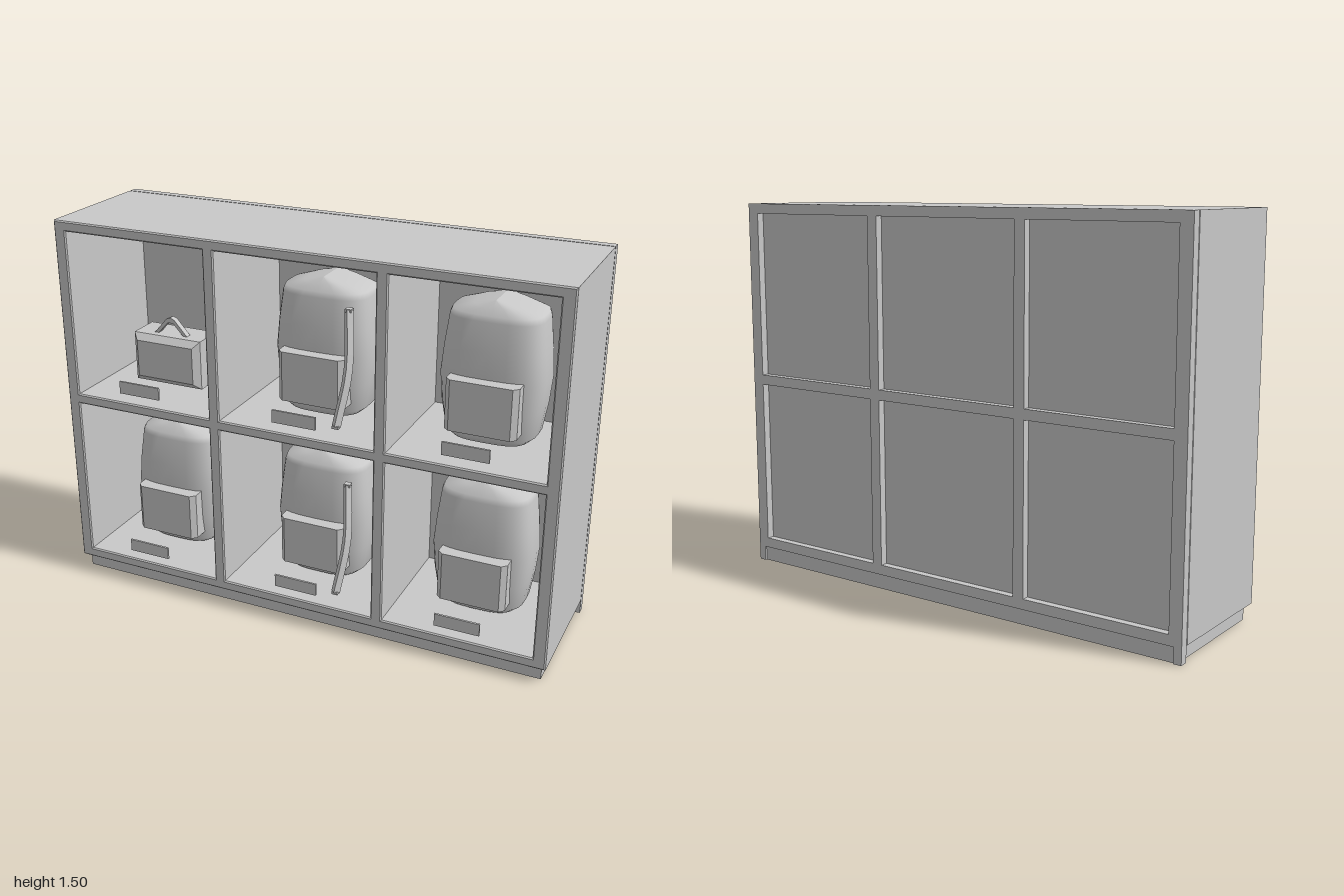
import * as THREE from 'three';

const grey = new THREE.MeshStandardMaterial({ color: 0xc8c8c8 });
grey.name = 'grey';

function add(parent, name, geometry, x = 0, y = 0, z = 0) {
  const m = new THREE.Mesh(geometry, grey);
  m.name = name;
  m.position.set(x, y, z);
  parent.add(m);
  return m;
}

// box given by its minimum and maximum corners
function box(parent, name, x0, x1, y0, y1, z0, z1) {
  return add(parent, name, new THREE.BoxGeometry(x1 - x0, y1 - y0, z1 - z0),
    (x0 + x1) / 2, (y0 + y1) / 2, (z0 + z1) / 2);
}

function rectPath(P, x0, x1, y0, y1) {
  return new P().moveTo(x0, y0).lineTo(x1, y0).lineTo(x1, y1).lineTo(x0, y1).closePath();
}

const columns = [[-0.95, -0.36], [-0.315, 0.315], [0.36, 0.95]];
const rows = [[0.1, 0.76], [0.8, 1.46]];

// grid of six openings
function gridShape(inset) {
  const s = rectPath(THREE.Shape, -1 + inset, 1 - inset, 0.06 + inset, 1.5 - inset);
  for (const [x0, x1] of columns) for (const [y0, y1] of rows)
    s.holes.push(rectPath(THREE.Path, x0 - inset, x1 + inset, y0 - inset, y1 + inset));
  return s;
}

// closed body lofted from rows of [y, half width, front z, back z]
function loft(sections, n = 32) {
  const pos = [], idx = [];
  const pow = (v) => Math.sign(v) * Math.pow(Math.abs(v), 0.62);
  for (const [y, w, f, b] of sections) for (let j = 0; j < n; j++) {
    const a = (j / n) * Math.PI * 2;
    pos.push(w * pow(Math.cos(a)), y, (f + b) / 2 + ((f - b) / 2) * pow(Math.sin(a)));
  }
  for (let i = 0; i < sections.length - 1; i++) for (let j = 0; j < n; j++) {
    const a = i * n + j, b = i * n + (j + 1) % n;
    idx.push(a, a + n, b, b, a + n, b + n);
  }
  const g = new THREE.BufferGeometry();
  g.setAttribute('position', new THREE.Float32BufferAttribute(pos, 3));
  g.setIndex(idx);
  g.computeVertexNormals();
  return g;
}

const bagBody = loft([
  [0.003, 0, -0.04, -0.06], [0.003, 0.09, 0.04, -0.15], [0.012, 0.145, 0.07, -0.17],
  [0.035, 0.17, 0.085, -0.18], [0.14, 0.188, 0.095, -0.18], [0.25, 0.198, 0.095, -0.18],
  [0.36, 0.188, 0.09, -0.18], [0.47, 0.175, 0.075, -0.175], [0.49, 0.168, 0.065, -0.17],
  [0.515, 0.09, 0.045, -0.15], [0.535, 0, 0.02, -0.13],
]);

function backpack(withStrap) {
  const g = new THREE.Group();
  g.name = 'backpack';
  add(g, 'bagBody', bagBody);
  // front pocket with chamfered sides
  const p = new THREE.Shape();
  [[-0.135, -0.02], [0.135, -0.02], [0.135, 0.125], [0.115, 0.145], [-0.115, 0.145], [-0.135, 0.125]]
    .forEach(([x, z], i) => (i ? p.lineTo(x, -z) : p.moveTo(x, -z)));
  const pocket = new THREE.ExtrudeGeometry(p, { depth: 0.195, bevelEnabled: false });
  pocket.rotateX(-Math.PI / 2);
  add(g, 'frontPocket', pocket, 0, 0.07, 0);
  if (withStrap) {
    const path = new THREE.CatmullRomCurve3([
      new THREE.Vector3(0.15, 0.46, 0.125), new THREE.Vector3(0.172, 0.25, 0.18), new THREE.Vector3(0.153, 0.05, 0.24),
    ]);
    const strap = new THREE.TubeGeometry(path, 8, 0.018, 4).toNonIndexed();
    strap.computeVertexNormals();
    add(g, 'strap', strap);
    for (const t of [0, 1]) {
      const c = path.getPoint(t);
      add(g, 'strapEnd', new THREE.BoxGeometry(0.025, 0.012, 0.025), c.x, c.y, c.z);
    }
  }
  return g;
}

function lunchBox() {
  const g = new THREE.Group();
  g.name = 'lunchBox';
  const b = 0.025;
  const body = new THREE.ExtrudeGeometry(rectPath(THREE.Shape, -0.125, 0.125, 0.04, 0.19),
    { depth: 0.13, bevelSize: b, bevelThickness: b, bevelSegments: 1 });
  add(g, 'lunchBoxBody', body, 0, 0, -0.065);
  // folded carrying handle
  const h = new THREE.Shape();
  [[-0.078, 0.21], [-0.06, 0.21], [-0.012, 0.262], [0.012, 0.262], [0.06, 0.21], [0.078, 0.21],
    [0.018, 0.277], [0, 0.284], [-0.018, 0.277]]
    .forEach(([x, y], i) => (i ? h.lineTo(x, y) : h.moveTo(x, y)));
  add(g, 'lunchBoxHandle', new THREE.ExtrudeGeometry(h, { depth: 0.025, bevelEnabled: false }), 0, 0, 0.01);
  return g;
}

export function createModel() {
  const model = new THREE.Group();
  model.name = 'cubbyShelf';

  // main carcass with a fine chamfer, and the frame behind the back panels
  const e = 0.005;
  add(model, 'carcass', new THREE.ExtrudeGeometry(gridShape(e),
    { depth: 0.515, bevelSize: e, bevelThickness: e, bevelSegments: 1 }), 0, 0, -0.24);
  add(model, 'backFrame', new THREE.ExtrudeGeometry(gridShape(0),
    { depth: 0.035, bevelEnabled: false }), 0, 0, -0.28);
  box(model, 'backPanel', -0.96, 0.96, 0.09, 1.47, -0.25, -0.24);

  // hollow plinth with two rear feet
  box(model, 'plinthFront', -0.98, 0.98, 0, 0.062, 0.235, 0.25);
  box(model, 'plinthBack', -0.98, 0.98, 0, 0.062, -0.272, -0.25);
  for (const s of [-1, 1]) {
    box(model, 'plinthSide', s * 0.9725 - 0.0075, s * 0.9725 + 0.0075, 0, 0.062, -0.25, 0.235);
    box(model, 'rearFoot', s * 0.985 - 0.015, s * 0.985 + 0.015, 0, 0.062, -0.28, -0.245);
  }

  // contents and name plate of every compartment
  [-0.663, 0, 0.66].forEach((x, c) => rows.forEach(([y], r) => {
    const item = c === 0 && r === 1 ? lunchBox() : backpack(c === 1);
    item.position.set(x, y, 0);
    model.add(item);
    box(model, 'namePlate', x - 0.088, x + 0.088, y + 0.04, y + 0.09, 0.276, 0.284);
  }));
  return model;
}
